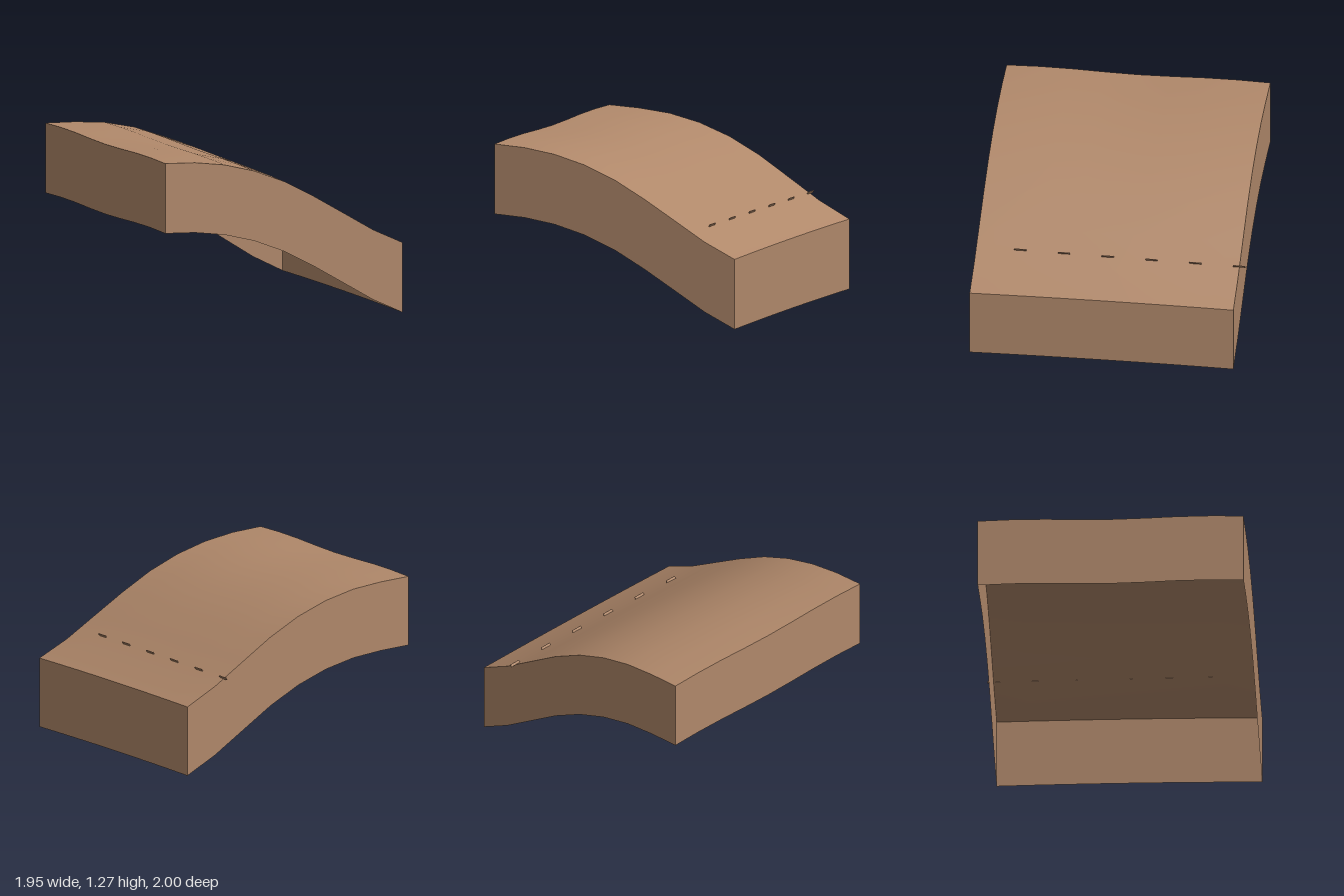
import * as THREE from 'three';
import { ParametricGeometry } from 'three/addons/geometries/ParametricGeometry.js';

const HALF = 0.977, FRONT = 1, BACK = -0.957, DEPTH = 0.52, N = 8;

// Height of the top edge at the front and at the back, from left to right
const frontEdge = [1.253, 1.242, 1.208, 1.145, 1.05, 0.922, 0.78, 0.637, 0.524];
const backEdge = [1.275, 1.267, 1.245, 1.192, 1.105, 0.982, 0.83, 0.677, 0.554];

function sample(list, u) {
  const i = Math.min(N - 1, Math.floor(u * N));
  return THREE.MathUtils.lerp(list[i], list[i + 1], u * N - i);
}

// Surface height: u runs across x, t runs from front to back
function height(u, t) {
  const ease = t + u * t * (1 - t);
  const ripple = 0.007 * (1 - u) ** 2 * Math.sin(3 * Math.PI * t);
  return THREE.MathUtils.lerp(sample(frontEdge, u), sample(backEdge, u), ease) + ripple;
}

const xAt = u => (2 * u - 1) * HALF;
const zAt = t => THREE.MathUtils.lerp(FRONT, BACK, t);

export function createModel() {
  const model = new THREE.Group();
  const earth = new THREE.MeshStandardMaterial({ color: 0xb0886a, side: THREE.DoubleSide });
  earth.name = 'earth brown';

  function add(name, geometry) {
    const mesh = new THREE.Mesh(geometry, earth);
    mesh.name = name;
    model.add(mesh);
    return mesh;
  }

  // Rolling top surface
  const top = new ParametricGeometry((u, t, p) => p.set(xAt(u), height(u, t), zAt(t)), N, N);
  top.computeVertexNormals();
  add('hillTop', top);

  // Skirt walls hang a constant depth below the edge; the underside stays open
  const walls = {
    frontWall: s => [s, 0],
    rightWall: s => [1, s],
    backWall: s => [1 - s, 1],
    leftWall: s => [0, 1 - s],
  };
  for (const [name, edge] of Object.entries(walls)) {
    const wall = new ParametricGeometry((s, v, p) => {
      const [u, t] = edge(s);
      p.set(xAt(u), height(u, t) - DEPTH * (1 - v), zAt(t));
    }, N, 1);
    wall.computeVertexNormals();
    add(name, wall);
  }

  // Row of thin dashes standing on the lower slope
  for (let i = 0; i < 6; i++) {
    const z = 0.672 - i * 0.3255;
    const x = 0.66 - 0.022 * ((5 - i) / 5) ** 2;
    const u = (x / HALF + 1) / 2;
    const t = Math.min(1, (FRONT - z) / (FRONT - BACK));
    const dash = add('slopeDash', new THREE.BoxGeometry(0.006, 0.02, 0.09));
    dash.position.set(x, height(u, t) + 0.009, z);
    dash.rotation.z = -0.56;
  }
  return model;
}
